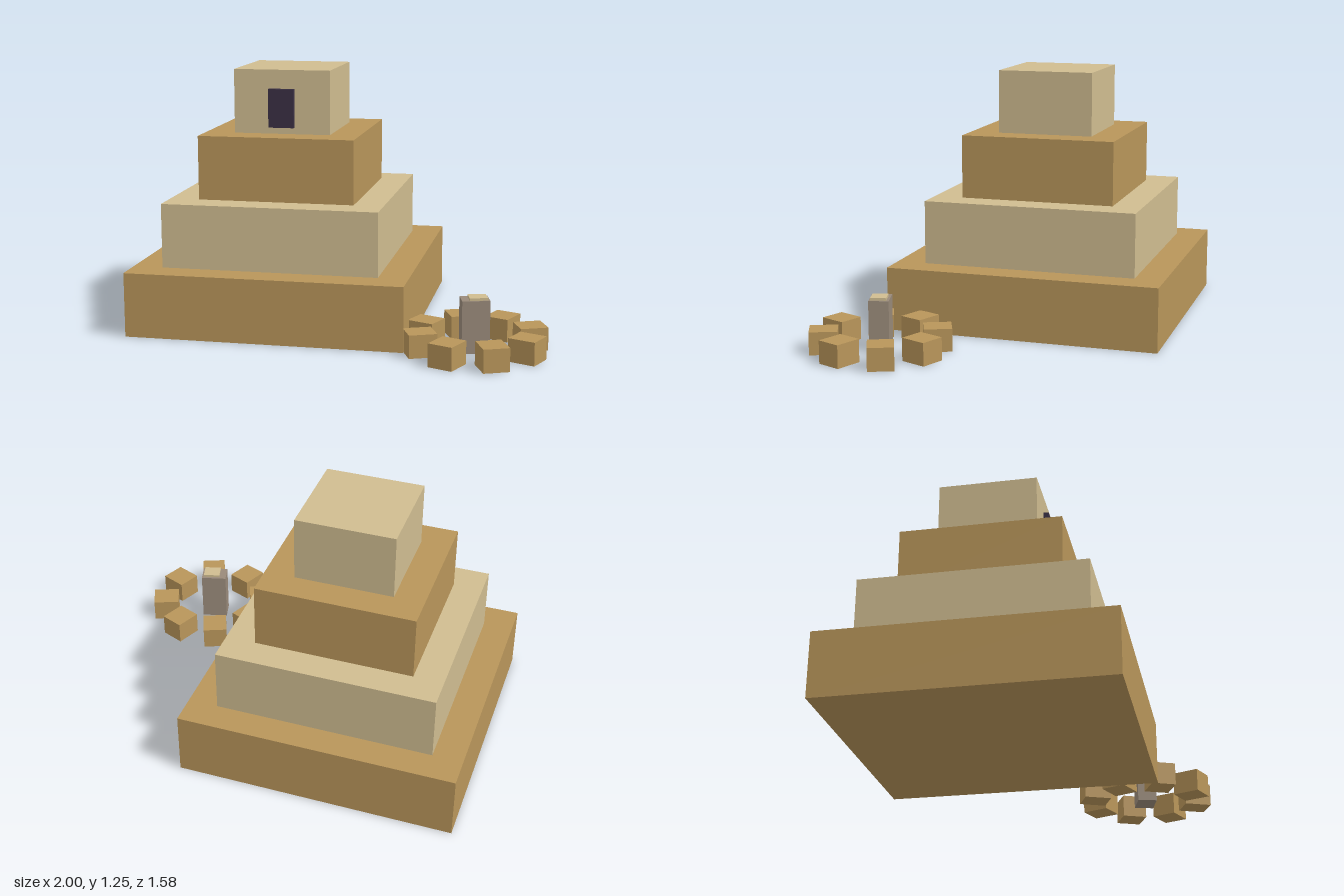
import * as THREE from 'three';

const mat = (color) => new THREE.MeshStandardMaterial({ color, flatShading: true });
const SAND = mat(0xb8955a);
const PALE = mat(0xcfbc90);
const DARK = mat(0x3a3044);
const STONE = mat(0x998a7a);

// Box standing with its underside at height y
function block(name, material, [w, h, d], [x, y, z], turn = 0) {
  const mesh = new THREE.Mesh(new THREE.BoxGeometry(w, h, d), material);
  mesh.name = name;
  mesh.position.set(x, y + h / 2, z);
  mesh.rotation.y = turn;
  return mesh;
}

export function createModel() {
  const model = new THREE.Group();
  model.name = 'steppedPyramid';

  // Four square tiers, alternating colours
  const tiers = new THREE.Group();
  tiers.name = 'tiers';
  const cx = -0.326, cz = -0.117, step = 0.3125;
  for (let i = 0; i < 4; i++) {
    const size = 1.347 - i * 0.29;
    tiers.add(block(`tier${i + 1}`, i % 2 ? PALE : SAND, [size, step, size], [cx, i * step, cz]));
  }
  model.add(tiers);

  // Dark doorway on the top tier
  model.add(block('doorway', DARK, [0.125, 0.188, 0.04], [cx, 0.97, 0.127]));

  // Ring of eight low blocks
  const ring = new THREE.Group();
  ring.name = 'blockRing';
  ring.position.set(0.67, 0, 0.457);
  for (let i = 0; i < 8; i++) {
    const a = (i + 0.5) * Math.PI / 4;
    ring.add(block('ringBlock', SAND, [0.133, 0.11, 0.122],
      [0.265 * Math.cos(a), 0, -0.265 * Math.sin(a)], a));
  }
  model.add(ring);

  // Turned pillar with a thin pale cap in the middle of the ring
  model.add(block('pillar', STONE, [0.13, 0.25, 0.095], [0.664, 0, 0.459], 0.26));
  model.add(block('pillarCap', PALE, [0.085, 0.02, 0.075], [0.677, 0.242, 0.458], 0.26));

  return model;
}
